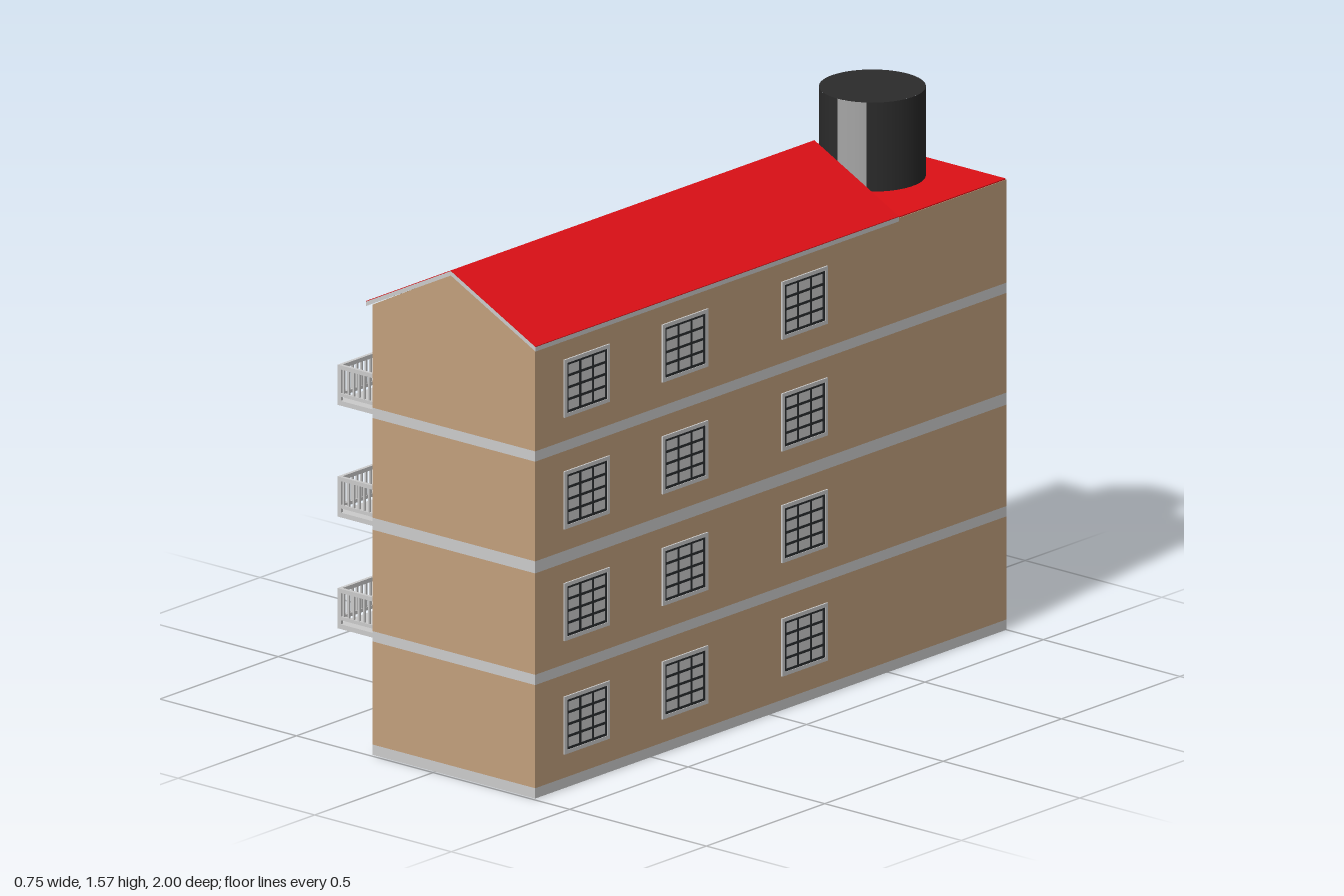
import * as THREE from 'three';

const mat = (color, side = THREE.FrontSide) => new THREE.MeshStandardMaterial({ color, side });
const GREY = mat(0xcccccc), BRICK = mat(0xc2a07d), RED = mat(0xdd1016), DARK = mat(0x2a2d30), WOOD = mat(0xc89c55);
const TANK = mat(0x2b2b2b), PANEL = mat(0xa5a5a5);

// overall plan
const X0 = -0.23, X1 = 0.365, Z0 = -1, Z1 = 0.99, ZP = -0.535, TOP = 1.31, T = 0.02, RIDGE = 0.065;
const BANDS = [[0, 0.03], [0.33, 0.36], [0.655, 0.69], [0.98, 1.01]];

// box given by its limits on each axis
function box(parent, name, material, x0, x1, y0, y1, z0, z1) {
  const m = new THREE.Mesh(new THREE.BoxGeometry(x1 - x0, y1 - y0, z1 - z0), material);
  m.position.set((x0 + x1) / 2, (y0 + y1) / 2, (z0 + z1) / 2);
  m.name = name;
  parent.add(m);
  return m;
}

function group(parent, name) {
  const g = new THREE.Group();
  g.name = name;
  parent.add(g);
  return g;
}

// wall of stacked brick storeys and grey floor bands
function wall(parent, name, x0, x1, z0, z1) {
  const g = group(parent, name);
  BANDS.forEach(([lo, hi], i) => {
    box(g, 'floorBand', GREY, x0, x1, lo, hi, z0, z1);
    box(g, 'brickStorey', BRICK, x0, x1, hi, i < 3 ? BANDS[i + 1][0] : TOP, z0, z1);
  });
}

// extrude an outline in x, y between two z positions
function prism(parent, name, material, points, z0, z1) {
  const shape = new THREE.Shape(points.map(([x, y]) => new THREE.Vector2(x, y)));
  const m = new THREE.Mesh(new THREE.ExtrudeGeometry(shape, { depth: z1 - z0, bevelEnabled: false }), material);
  m.position.z = z0;
  m.name = name;
  parent.add(m);
}

// window seen on both faces of a side wall: pane, frame and a 3 x 4 grid of bars
function windowUnit(parent, x, y, z) {
  const g = group(parent, 'window');
  g.position.set(x, y, z);
  const w = 0.096, h = 0.084, f = 0.011, d = T / 2;
  box(g, 'pane', GREY, -d - 0.001, d + 0.001, -h, h, -w, w);
  for (const s of [-1, 1]) {
    const zc = s * (w - f / 2), yc = s * (h - f / 2);
    box(g, 'frameSide', GREY, -d - 0.005, d + 0.005, -h, h, zc - f / 2, zc + f / 2);
    box(g, 'frameRail', GREY, -d - 0.005, d + 0.005, yc - f / 2, yc + f / 2, -w + f, w - f);
  }
  const b = 0.0035, iw = w - f - b, ih = h - f - b;
  for (let i = 0; i < 4; i++) {
    const zc = -iw + (2 * iw * i) / 3;
    box(g, 'uprightBar', DARK, -d - 0.003, d + 0.003, -ih - b, ih + b, zc - b, zc + b);
  }
  for (let i = 0; i < 5; i++) {
    const yc = -ih + (2 * ih * i) / 4;
    box(g, 'crossBar', DARK, -d - 0.003, d + 0.003, yc - b, yc + b, -iw, iw);
  }
}

// straight railing of given length along local x
function railing(parent, name, length) {
  const g = group(parent, name), t = 0.005;
  box(g, 'topRail', GREY, 0, length, 0.105, 0.117, -t, t);
  box(g, 'lowerRail', GREY, 0, length, 0.026, 0.036, -t, t);
  for (const x of [0, length - 0.012]) box(g, 'post', GREY, x, x + 0.012, 0, 0.11, -t, t);
  const n = Math.round(length / 0.019);
  for (let i = 1; i < n; i++) {
    const x = (length * i) / n;
    box(g, 'baluster', GREY, x - 0.003, x + 0.003, 0.03, 0.11, -0.003, 0.003);
  }
  return g;
}

function balcony(parent, y) {
  const g = group(parent, 'balcony');
  const xo = -0.38, z0 = -0.5, z1 = 0.965;
  box(g, 'balconySlab', GREY, xo, X0, y, y + 0.014, z0, z1);
  const long = railing(g, 'outerRailing', z1 - z0);
  long.rotation.y = -Math.PI / 2;
  long.position.set(xo + 0.005, y, z0);
  for (const z of [z0 + 0.005, z1 - 0.005]) railing(g, 'endRailing', X0 - xo).position.set(xo, y, z);
}

// flight rising towards +x with a sloping railing on each side
function stairs(parent, x, y) {
  const g = group(parent, 'stairFlight');
  g.position.set(x, y, 0);
  const n = 7, run = 0.048, rise = 0.038, z0 = -0.86, z1 = -0.67;
  for (let i = 0; i < n; i++)
    box(g, 'step', WOOD, i * run, (i + 1) * run + 0.012, i * rise, i * rise + 0.033, z0, z1);
  const length = Math.hypot(n * run, n * rise), angle = Math.atan2(rise, run);
  for (const z of [z0 + 0.006, z1 - 0.006]) {
    for (const [name, h] of [['handrail', 0.122], ['lowerRail', 0.052]]) {
      const r = box(g, name, GREY, 0, length, 0, 0.011, z - 0.006, z + 0.006);
      r.position.set((n * run) / 2, h + (n * rise) / 2, z);
      r.rotation.z = angle;
    }
    for (let i = 0; i <= 2 * n; i++) {
      const bx = (i * run) / 2, by = (i * rise) / 2, end = i % (2 * n) === 0;
      const w = end ? 0.006 : 0.003;
      box(g, end ? 'newel' : 'baluster', GREY, bx - w + 0.006, bx + w + 0.006, by + (end ? 0.01 : 0.05), by + 0.125, z - w, z + w);
    }
  }
}

export function createModel() {
  const model = new THREE.Group();
  model.name = 'apartmentBlock';

  // walls: the rear bay is a stairwell open on the -x side
  wall(model, 'frontWall', X0, X1, Z1 - T, Z1);
  wall(model, 'backWall', X0, X1, Z0, Z0 + T);
  wall(model, 'rightWall', X1 - T, X1, Z0 + T, Z1 - T);
  wall(model, 'leftWall', X0, X0 + T, ZP + T, Z1 - T);
  wall(model, 'stairwellWall', X0, X1 - T, ZP, ZP + T);

  // gable ends
  for (const z of [ZP, Z1 - T])
    prism(model, 'gable', BRICK, [[X0, TOP], [X1, TOP], [RIDGE, 1.462]], z, z + T);

  // pitched roof: grey deck under a red skin
  const chevron = (lo, hi) => [[-0.245, 1.32 + lo], [RIDGE, 1.475 + lo], [0.375, 1.32 + lo],
    [0.375, 1.32 + hi], [RIDGE, 1.475 + hi], [-0.245, 1.32 + hi]];
  prism(model, 'roofDeck', GREY, chevron(-0.015, -0.002), ZP, 1);
  prism(model, 'roofSkin', RED, chevron(-0.002, 0), ZP, 1);
  box(model, 'flatRoof', RED, X0, X1 - 0.002, TOP - 0.012, TOP + 0.003, Z0 + 0.001, ZP);

  // windows and doors on every storey
  BANDS.forEach(([lo, hi]) => {
    const y = lo + 0.183;
    for (const z of [0.775, 0.36, -0.145]) windowUnit(model, X1 - T / 2, y, z);
    for (const z of [0.79, 0.27, -0.1]) windowUnit(model, X0 + T / 2, y, z);
    for (const z of [0.55, -0.345]) {
      const door = group(model, 'door');
      box(door, 'doorLeaf', GREY, X0 - 0.002, X0 + T + 0.002, hi, hi + 0.265, z - 0.055, z + 0.055);
      for (const s of [-1, 1])
        box(door, 'doorJamb', GREY, X0 - 0.006, X0 + T + 0.006, hi, hi + 0.27, z + s * 0.055 - 0.005, z + s * 0.055 + 0.005);
      box(door, 'doorHead', GREY, X0 - 0.006, X0 + T + 0.006, hi + 0.26, hi + 0.27, z - 0.05, z + 0.05);
    }
  });

  // stairwell floors and flights, balconies above the ground
  BANDS.forEach(([lo, hi], i) => {
    box(model, 'stairwellFloor', GREY, X0, X1 - T, lo, hi, Z0 + T, ZP);
    stairs(model, i ? -0.2 : -0.29, hi + 0.045);
    if (i) balcony(model, lo);
  });

  // water tank with one lighter panel
  const tank = group(model, 'waterTank');
  tank.position.set(RIDGE, 1.44, -0.78);
  const R = 0.148, H = 0.264, A = 0.6;
  const part = (name, geometry, material) => {
    const m = new THREE.Mesh(geometry, material);
    m.name = name;
    tank.add(m);
    return m;
  };
  part('tankSide', new THREE.CylinderGeometry(R, R, H, 48, 1, true, A, Math.PI * 2 - A), TANK);
  part('tankPanel', new THREE.CylinderGeometry(R, R, H, 8, 1, true, 0, A), PANEL);
  part('tankLid', new THREE.CircleGeometry(R, 56).rotateX(-Math.PI / 2), TANK).position.y = H / 2;

  return model;
}
